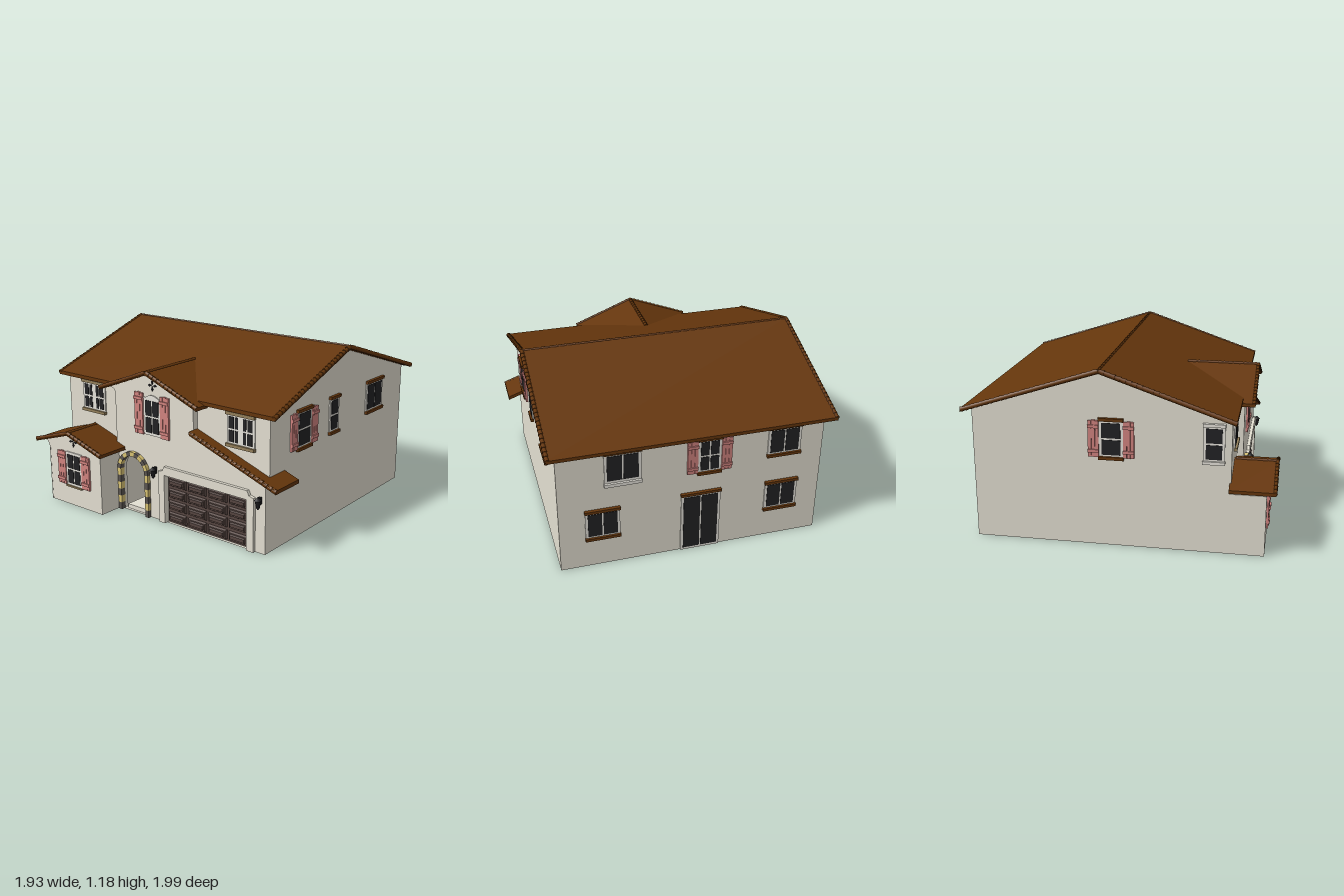
import * as THREE from 'three';
import { mergeGeometries } from 'three/addons/utils/BufferGeometryUtils.js';

const mat = (name, color) => {
  const m = new THREE.MeshStandardMaterial({ color, side: THREE.DoubleSide });
  m.name = name;
  return m;
};

export function createModel() {
  const M = {
    wall: mat('stucco', 0xe4e0d2), roof: mat('roofBrown', 0x65360c), pink: mat('shutterPink', 0xd28480),
    glass: mat('darkGlass', 0x222224), garage: mat('garageBrown', 0x564540), lamp: mat('lampBlack', 0x1c1c1f),
    frame: mat('frameWhite', 0xf0ede4), yellow: mat('stoneYellow', 0xdac474), dark: mat('stoneGrey', 0x5a5450),
    tan: mat('sillTan', 0x94805a),
  };
  const house = new THREE.Group();
  house.name = 'house';

  const add = (name, geo, m, parent = house) => {
    const mesh = new THREE.Mesh(geo, m);
    mesh.name = name;
    parent.add(mesh);
    return mesh;
  };
  // Box from its min and max corners
  const box = (name, m, x0, x1, y0, y1, z0, z1, parent) => {
    const mesh = add(name, new THREE.BoxGeometry(x1 - x0, y1 - y0, z1 - z0), m, parent);
    mesh.position.set((x0 + x1) / 2, (y0 + y1) / 2, (z0 + z1) / 2);
    return mesh;
  };
  const poly = pts => new THREE.Shape(pts.map(p => new THREE.Vector2(...p)));
  // Front-facing slab between two depths
  const slab = (name, m, shape, z0, z1, parent) => {
    const mesh = add(name, new THREE.ExtrudeGeometry(shape, { depth: z1 - z0, bevelEnabled: false, curveSegments: 12 }), m, parent);
    mesh.position.z = z0;
    return mesh;
  };
  // Slab with a (z, y) profile running along x
  const sideSlab = (name, m, pts, x0, x1) => {
    const mesh = slab(name, m, poly(pts), 0, x1 - x0);
    mesh.rotation.y = -Math.PI / 2;
    mesh.position.set(x1, 0, 0);
  };
  // Row of overlapping barrel tiles between two points
  const tiles = (name, a, b, r, step = 0.035) => {
    const A = new THREE.Vector3(...a), B = new THREE.Vector3(...b);
    const n = Math.round(A.distanceTo(B) / step), len = A.distanceTo(B) / n;
    const q = new THREE.Quaternion().setFromUnitVectors(new THREE.Vector3(0, 1, 0), B.clone().sub(A).normalize());
    const parts = [];
    for (let i = 0; i < n; i++) {
      const g = new THREE.CylinderGeometry(r * 0.75, r, len, 8);
      g.applyQuaternion(q);
      const p = A.clone().lerp(B, (i + 0.5) / n);
      parts.push(g.translate(p.x, p.y, p.z));
    }
    add(name, mergeGeometries(parts), M.roof);
  };

  // Outer walls
  const gable = [[-0.94, 0], [0.71, 0], [0.71, 0.878], [-0.1, 1.153], [-0.94, 0.888]];
  sideSlab('rightWall', M.wall, gable, 0.845, 0.855);
  sideSlab('leftWall', M.wall, gable, -0.885, -0.875);
  box('backWall', M.wall, -0.885, 0.855, 0, 0.885, -0.94, -0.93);
  box('upperFrontWall', M.wall, -0.885, -0.39, 0.4, 0.878, 0.7, 0.71);
  box('upperFrontWall', M.wall, 0.28, 0.855, 0.4, 0.878, 0.7, 0.71);
  box('ceiling', M.wall, -0.88, 0.85, 0.86, 0.865, -0.935, 0.705);

  // Entry bay and garage front, with arch and garage openings
  const front = new THREE.Shape();
  front.moveTo(-0.38, 0);
  for (const p of [[0.855, 0], [0.855, 0.475], [0.29, 0.672], [0.29, 0.82]]) front.lineTo(...p);
  front.quadraticCurveTo(0.29, 0.855, 0.335, 0.86);
  front.lineTo(-0.0525, 1.015);
  front.lineTo(-0.44, 0.86);
  front.quadraticCurveTo(-0.395, 0.855, -0.395, 0.82);
  front.lineTo(-0.395, 0.4);
  front.lineTo(-0.38, 0.4);
  const archX = -0.235, springY = 0.3;
  const arch = new THREE.Path();
  arch.moveTo(archX - 0.115, 0.001);
  arch.lineTo(archX - 0.115, springY);
  arch.absarc(archX, springY, 0.115, Math.PI, 0, true);
  arch.lineTo(archX + 0.115, 0.001);
  const opening = new THREE.Path([[0.05, 0.001], [0.725, 0.001], [0.725, 0.34], [0.05, 0.34]].map(p => new THREE.Vector2(...p)));
  front.holes.push(arch, opening);
  slab('frontWall', M.wall, front, 0.71, 0.75);

  // Raised garage surround
  slab('garageSurround', M.wall, poly([[0.0, 0], [0.05, 0], [0.05, 0.34], [0.725, 0.34], [0.725, 0], [0.78, 0],
    [0.78, 0.36], [0.745, 0.37], [0.73, 0.4], [0.05, 0.4], [0.035, 0.37], [0.0, 0.36]]), 0.75, 0.772);

  // Garage door with bevelled panels
  box('garageDoor', M.garage, 0.045, 0.73, 0, 0.345, 0.715, 0.73);
  box('garageDoorLining', M.wall, 0.04, 0.735, 0, 0.35, 0.707, 0.714);
  const panel = (x0, x1, y0, y1, z) => {
    const b = 0.007, geo = new THREE.ExtrudeGeometry(poly([[x0 + b, y0 + b], [x1 - b, y0 + b], [x1 - b, y1 - b], [x0 + b, y1 - b]]),
      { depth: 0.004, bevelEnabled: true, bevelSize: b, bevelThickness: 0.012, bevelSegments: 1 });
    add('garagePanel', geo, M.garage).position.z = z;
  };
  for (let r = 0; r < 4; r++) for (let c = 0; c < 4; c++) {
    const x = 0.06 + c * 0.168, y = 0.012 + r * 0.083;
    panel(x, x + 0.15, y, y + 0.064, 0.73);
    panel(x + 0.014, x + 0.136, y + 0.014, y + 0.05, 0.74);
  }

  // Projecting front room
  slab('frontRoomShell', M.wall, poly([[-0.885, 0], [-0.885, 0.4], [-0.9, 0.43], [-0.93, 0.438], [-0.635, 0.535], [-0.335, 0.438],
    [-0.365, 0.43], [-0.38, 0.4], [-0.38, 0], [-0.388, 0], [-0.388, 0.39], [-0.877, 0.39], [-0.877, 0]]), 0.7, 0.93);
  box('frontRoomWall', M.wall, -0.88, -0.385, 0, 0.4, 0.92, 0.929);

  // Porch recess, inner walls and entry door
  box('porchLeftWall', M.wall, -0.39, -0.38, 0, 0.47, 0.1, 0.72);
  box('porchRightWall', M.wall, -0.1, -0.09, 0, 0.47, 0.41, 0.72);
  box('porchBackWall', M.wall, -0.38, -0.09, 0, 0.47, 0.41, 0.42);
  box('porchCeiling', M.wall, -0.38, -0.09, 0.46, 0.47, 0.42, 0.72);
  box('innerWall', M.wall, -0.22, 0.45, 0, 0.7, 0.09, 0.1);
  box('doorStep', M.wall, -0.33, -0.14, 0, 0.03, 0.42, 0.73);
  const door = new THREE.Shape();
  door.moveTo(-0.305, 0.03);
  door.lineTo(-0.165, 0.03);
  door.lineTo(-0.165, 0.37);
  door.quadraticCurveTo(-0.235, 0.435, -0.305, 0.37);
  slab('entryDoor', M.pink, door, 0.42, 0.432);
  for (const x of [-0.292, -0.227]) for (const [y0, y1] of [[0.05, 0.17], [0.19, 0.31], [0.325, 0.365]])
    box('doorPanel', M.pink, x, x + 0.05, y0, y1, 0.432, 0.444);

  // Alternating stones around the arch
  const stone = i => (i % 2 ? M.yellow : M.dark);
  for (let i = 0; i < 6; i++) for (const s of [-1, 1]) {
    const x = archX + s * 0.125;
    box('archStone', stone(i), x - 0.015, x + 0.015, i * 0.05, (i + 1) * 0.05, 0.74, 0.775);
  }
  for (let i = 0; i < 11; i++) {
    const a = i * Math.PI / 11, b = a + Math.PI / 11, s = new THREE.Shape();
    s.absarc(archX, springY, 0.14, a, b, false);
    s.absarc(archX, springY, 0.11, b, a, true);
    slab('archStone', stone(i), s, 0.74, 0.775);
  }

  // Main roof
  sideSlab('mainRoof', M.roof, [[-0.99, 0.865], [-0.1, 1.15], [0.74, 0.865], [0.74, 0.89], [-0.1, 1.175], [-0.99, 0.888]], -0.955, 0.91);
  tiles('ridgeTiles', [-0.955, 1.17, -0.1], [0.91, 1.17, -0.1], 0.011, 0.06);
  for (const x of [-0.948, 0.902]) {
    tiles('rakeTiles', [x, 0.88, -0.985], [x, 1.167, -0.1], 0.017);
    tiles('rakeTiles', [x, 0.88, 0.74], [x, 1.167, -0.1], 0.017);
  }
  // Gabled roofs: ridge x, half width, ridge y, eave y, depth range
  const gableRoof = (name, cx, w, top, eave, z0, z1) => {
    const t = 0.022;
    slab(name, M.roof, poly([[cx - w, eave], [cx, top], [cx + w, eave], [cx + w, eave - t], [cx, top - t], [cx - w, eave - t]]), z0, z1);
    for (const s of [-1, 1]) tiles(name + 'RakeTiles', [cx + s * w, eave - 0.005, z1 - 0.008], [cx, top - 0.005, z1 - 0.008], 0.014);
    tiles(name + 'RidgeTiles', [cx, top - 0.005, z0 + 0.02], [cx, top - 0.005, z1], 0.014);
  };
  gableRoof('entryGableRoof', -0.0525, 0.425, 1.032, 0.868, 0.31, 0.82);
  gableRoof('frontRoomRoof', -0.635, 0.315, 0.553, 0.455, 0.7, 0.99);
  // Sloping garage roof and its side return
  const shedY = x => 0.695 - 0.351 * (x - 0.29);
  const shed = (x0, x1) => poly([[x0, shedY(x0)], [x1, shedY(x1)], [x1, shedY(x1) - 0.025], [x0, shedY(x0) - 0.025]]);
  slab('garageRoof', M.roof, shed(0.29, 0.96), 0.705, 0.795);
  slab('garageRoofReturn', M.roof, shed(0.85, 0.96), 0.55, 0.71);
  tiles('garageRoofTiles', [0.96, shedY(0.96) - 0.01, 0.786], [0.29, shedY(0.29) - 0.01, 0.786], 0.014);

  // Wall faces: local x along the wall, z outwards
  const face = (name, x, z, turn) => {
    const g = new THREE.Group();
    g.name = name;
    g.position.set(x, 0, z);
    g.rotation.y = turn;
    house.add(g);
    return g;
  };
  const shutter = (g, x, y0, y1, w) => {
    for (let i = 0; i < 3; i++)
      box('shutterBoard', M.pink, x + (i * w) / 3 + 0.001, x + ((i + 1) * w) / 3 - 0.001, y0, y1 - (i === 1 ? 0 : 0.004), 0, 0.014, g);
    for (const y of [y0 + 0.03, y1 - 0.05]) box('shutterBatten', M.pink, x, x + w, y, y + 0.02, 0.014, 0.022, g);
  };
  // Window: centre x, bottom, top, width, pane columns and rows, trim and shutter options
  const windowAt = (g, cx, y0, y1, w, cols, rows, { trim, shutters, pair } = {}) => {
    const x0 = cx - w / 2, x1 = cx + w / 2, b = 0.012;
    box('windowFrame', M.frame, x0 - b, x1 + b, y0 - b, y1 + b, -0.03, 0.008, g);
    const pw = w / cols, ph = (y1 - y0) / rows, mid = pair ? 0.014 : 0;
    for (let c = 0; c < cols; c++) for (let r = 0; r < rows; r++) {
      const l = x0 + c * pw + 0.005 + (c === cols / 2 ? mid : 0), e = x0 + (c + 1) * pw - 0.005 - (c === cols / 2 - 1 ? mid : 0);
      box('pane', M.glass, l, e, y0 + r * ph + 0.006, y0 + (r + 1) * ph - 0.006, 0.006, 0.011, g);
    }
    if (trim) for (const [name, y] of [['lintel', y1 + 0.006], ['sill', y0 - 0.025]])
      box(name, trim, x0 - 0.015, x1 + 0.015, y, y + 0.02, -0.14, 0.022, g);
    if (shutters) {
      shutter(g, x0 - 0.012 - shutters, y0 - 0.01, y1 + 0.01, shutters);
      shutter(g, x1 + 0.012, y0 - 0.01, y1 + 0.01, shutters);
    }
  };

  const frontFace = face('upperFrontFace', 0, 0.71, 0);
  for (const x of [-0.635, 0.64]) windowAt(frontFace, x, 0.66, 0.835, 0.19, 4, 2, { trim: M.tan, pair: true });

  const bayFace = face('bayFace', 0, 0.75, 0);
  windowAt(bayFace, -0.055, 0.6, 0.83, 0.125, 2, 2);
  const head = new THREE.Shape();
  head.moveTo(-0.128, 0.83);
  head.lineTo(0.018, 0.83);
  head.quadraticCurveTo(-0.055, 0.895, -0.128, 0.83);
  slab('windowHead', M.frame, head, 0, 0.008, bayFace);
  for (const x of [-0.208, 0.018]) shutter(bayFace, x, 0.585, 0.87, 0.075);

  const roomFace = face('frontRoomFace', 0, 0.93, 0);
  windowAt(roomFace, -0.635, 0.16, 0.38, 0.13, 2, 2, { shutters: 0.078 });
  box('sill', M.tan, -0.71, -0.56, 0.138, 0.15, -0.1, 0.018, roomFace);

  const rightFace = face('rightFace', 0.855, 0, Math.PI / 2);
  windowAt(rightFace, -0.35, 0.61, 0.83, 0.135, 1, 2, { trim: M.roof, shutters: 0.07 });
  windowAt(rightFace, 0.005, 0.62, 0.83, 0.09, 1, 2, { trim: M.roof });
  windowAt(rightFace, 0.535, 0.65, 0.835, 0.2, 2, 1, { trim: M.roof });

  const leftFace = face('leftFace', -0.885, 0, -Math.PI / 2);
  windowAt(leftFace, -0.04, 0.61, 0.83, 0.13, 1, 2, { trim: M.roof, shutters: 0.07 });
  windowAt(leftFace, 0.6, 0.62, 0.83, 0.11, 1, 2, { trim: M.frame });

  const backFace = face('backFace', 0, -0.94, Math.PI);
  windowAt(backFace, 0.62, 0.66, 0.835, 0.2, 2, 1, { trim: M.roof });
  windowAt(backFace, 0.62, 0.235, 0.415, 0.2, 2, 1, { trim: M.roof });
  windowAt(backFace, -0.575, 0.235, 0.415, 0.2, 2, 1, { trim: M.roof });
  windowAt(backFace, -0.44, 0.64, 0.83, 0.21, 2, 1);
  box('lintel', M.roof, -0.56, -0.32, 0.838, 0.856, -0.14, 0.022, backFace);
  box('sill', M.frame, -0.56, -0.32, 0.605, 0.628, -0.03, 0.022, backFace);
  windowAt(backFace, 0.12, 0.61, 0.83, 0.13, 2, 2, { trim: M.roof, shutters: 0.07 });
  windowAt(backFace, 0.07, 0.012, 0.425, 0.24, 2, 1);
  box('doorLintel', M.roof, -0.065, 0.205, 0.435, 0.453, -0.04, 0.022, backFace);

  // Four-petal vents in the gables
  for (const [x, y, g] of [[-0.0525, 0.928, bayFace], [-0.635, 0.472, roomFace]]) for (let i = 0; i < 4; i++) {
    const petal = slab('ventPetal', M.lamp, poly([[0.005, 0], [0.024, -0.008], [0.038, 0], [0.024, 0.008]]), 0, 0.006, g);
    petal.position.set(x, y, 0);
    petal.rotation.z = i * Math.PI / 2;
  }

  // Wall lanterns
  for (const x of [-0.04, 0.82]) {
    box('lampBracket', M.lamp, x - 0.008, x + 0.008, 0.33, 0.375, 0.75, 0.775);
    add('lampBody', new THREE.CylinderGeometry(0.02, 0.011, 0.05, 6), M.lamp).position.set(x, 0.335, 0.78);
    add('lampCap', new THREE.ConeGeometry(0.025, 0.025, 6), M.lamp).position.set(x, 0.372, 0.78);
    add('lampFinial', new THREE.SphereGeometry(0.007, 6, 4), M.lamp).position.set(x, 0.306, 0.78);
  }
  return house;
}
